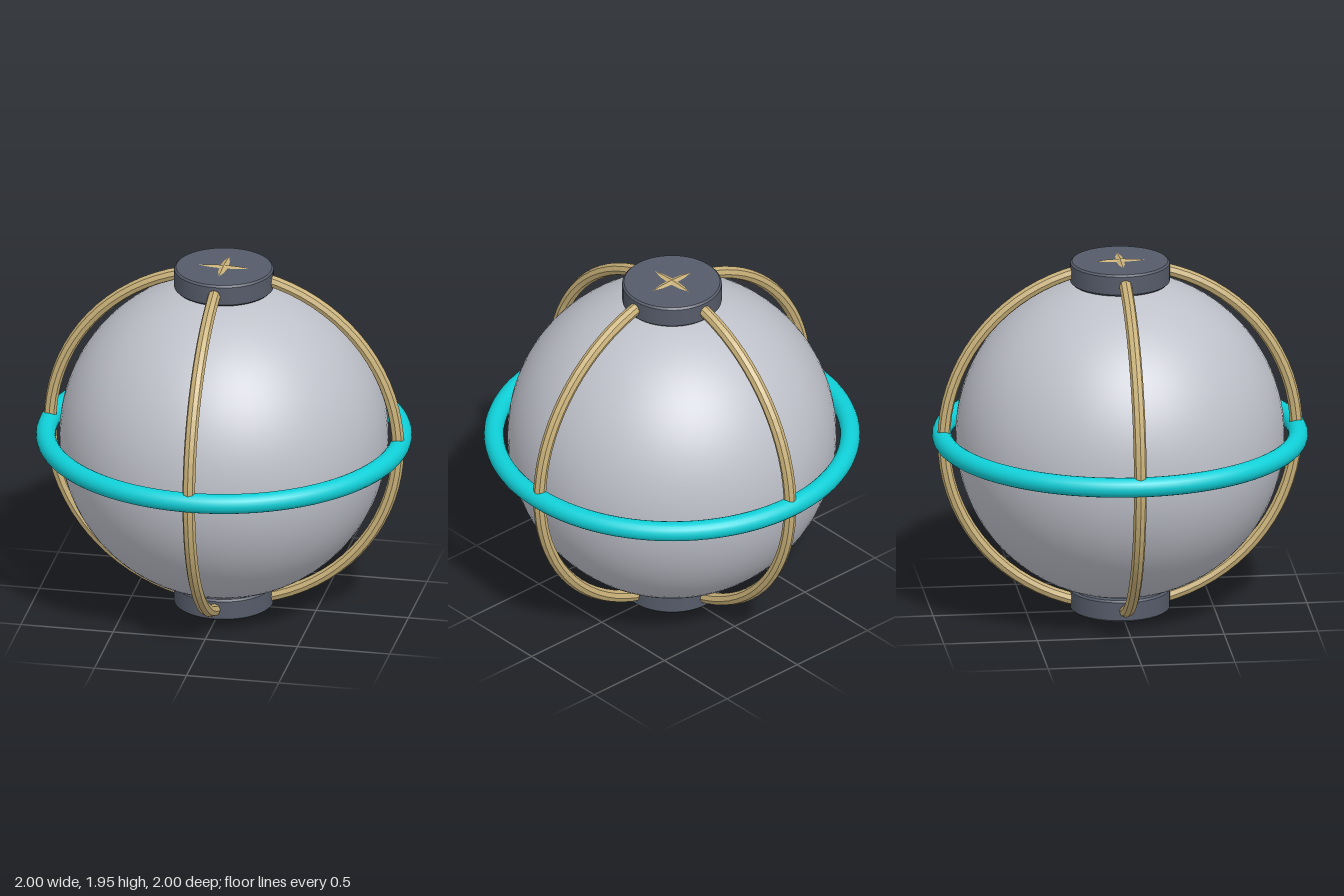
import * as THREE from 'three';
import { toCreasedNormals } from 'three/addons/utils/BufferGeometryUtils.js';

const CENTER_Y = 0.98;

function material(name, color, flatShading = false) {
  const m = new THREE.MeshStandardMaterial({ color, flatShading });
  m.name = name;
  return m;
}

export function createModel() {
  const model = new THREE.Group();
  model.name = 'cagedOrb';

  const grey = material('pale grey', 0xbfc1ca);
  const gold = material('brass', 0xc8b078, true);
  const teal = material('turquoise', 0x10d0d8);
  const slate = material('dark slate', 0x555b69);

  function add(name, geometry, mat) {
    const mesh = new THREE.Mesh(geometry, mat);
    mesh.name = name;
    mesh.position.y = CENTER_Y;
    model.add(mesh);
    return mesh;
  }

  // Central ball
  add('ball', new THREE.SphereGeometry(0.875, 64, 48), grey);

  // Two crossed upright hoops with faceted section
  const hoop = new THREE.TorusGeometry(0.943, 0.034, 8, 80);
  add('hoopAcross', hoop, gold);
  add('hoopAlong', hoop, gold).rotation.y = Math.PI / 2;

  // Round horizontal ring at the equator
  const ring = new THREE.TorusGeometry(0.947, 0.053, 20, 96);
  add('equatorRing', ring, teal).rotation.x = Math.PI / 2;

  // Pole caps: short discs with a slim bevel; the hoops break through as a cross
  const profile = [
    [0, 0.848], [0.255, 0.848], [0.265, 0.858],
    [0.265, 0.957], [0.255, 0.967], [0, 0.967],
  ].map(([r, y]) => new THREE.Vector2(r, y));
  const cap = toCreasedNormals(new THREE.LatheGeometry(profile, 48), 0.5);
  add('topCap', cap, slate);
  add('bottomCap', cap, slate).rotation.x = Math.PI;

  return model;
}
